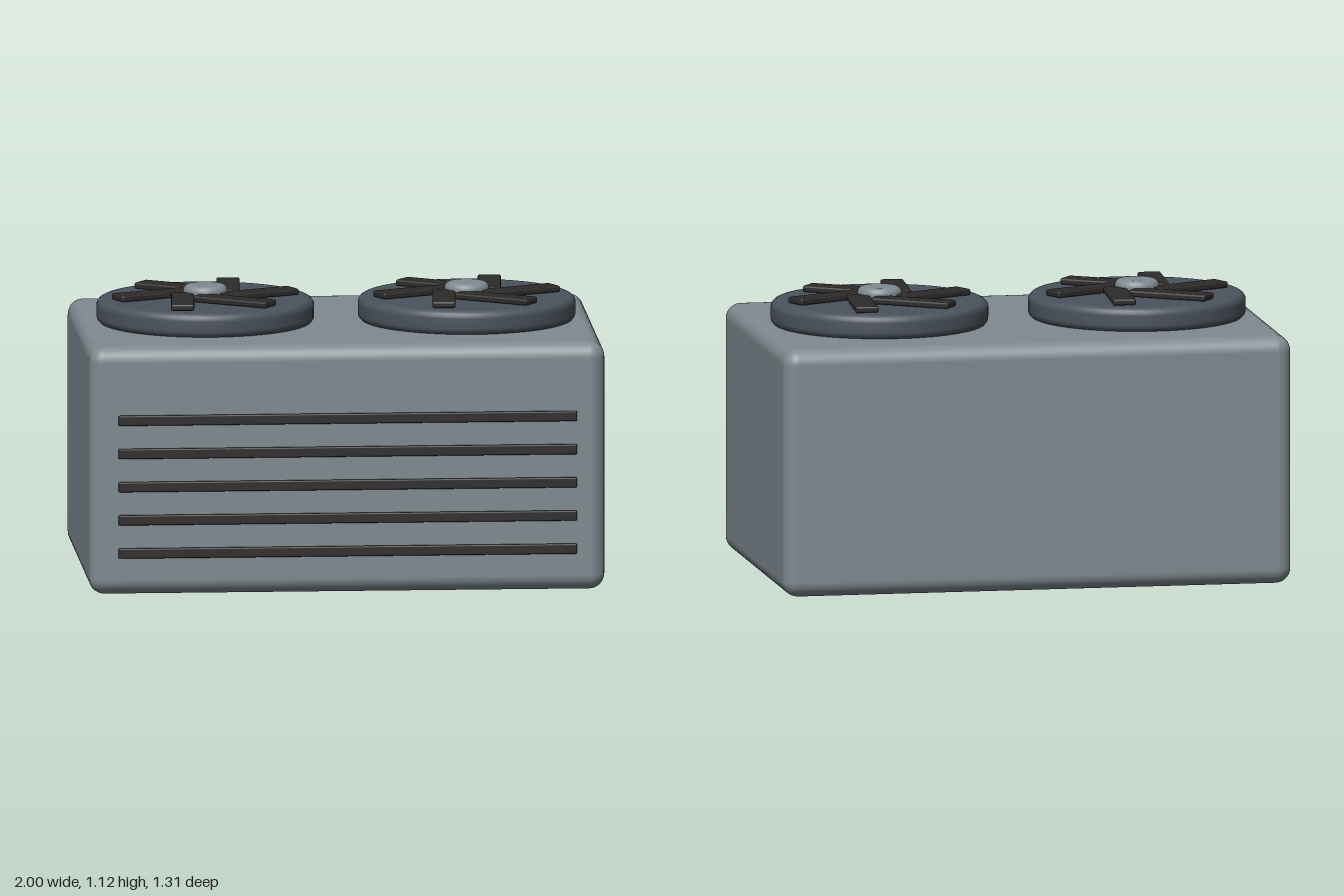
import * as THREE from 'three';
import { RoundedBoxGeometry } from 'three/addons/geometries/RoundedBoxGeometry.js';

const material = (name, color) => {
  const m = new THREE.MeshStandardMaterial({ color });
  m.name = name;
  return m;
};

// Round disc standing on y = 0 with rounded rims at the bottom and top
function roundedDisc(radius, height, low, high) {
  const points = [new THREE.Vector2(0, 0)];
  const arc = (r, cy, start) => {
    for (let i = 0; i <= 5; i++) {
      const a = start + (i / 5) * Math.PI / 2;
      points.push(new THREE.Vector2(radius - r + r * Math.cos(a), cy + r * Math.sin(a)));
    }
  };
  if (low > 0) arc(low, low, -Math.PI / 2);
  else points.push(new THREE.Vector2(radius, 0));
  arc(high, height - high, 0);
  points.push(new THREE.Vector2(0, height));
  // Thin guard rings keep the flat faces evenly shaded
  points.splice(1, 0, new THREE.Vector2((radius - Math.max(low, 0.002)) * 0.995, 0));
  points.splice(points.length - 1, 0, new THREE.Vector2((radius - high) * 0.99, height));
  return new THREE.LatheGeometry(points, 48);
}

export function createModel() {
  const model = new THREE.Group();
  model.name = 'condenserUnit';
  const casing = material('casing grey', 0x7f8a90);
  const housing = material('housing slate', 0x4a535c);
  const dark = material('dark charcoal', 0x2d2b2a);

  const add = (parent, name, geometry, mat, x, y, z) => {
    const mesh = new THREE.Mesh(geometry, mat);
    mesh.name = name;
    mesh.position.set(x, y, z);
    parent.add(mesh);
    return mesh;
  };

  // Casing
  add(model, 'casing', new RoundedBoxGeometry(2, 0.97, 1.295, 4, 0.06), casing, 0, 0.485, -0.009);

  // Front grille slats, standing just off the casing
  const slat = new RoundedBoxGeometry(1.78, 0.04, 0.015, 2, 0.006);
  for (let i = 0; i < 5; i++) {
    add(model, 'grilleSlat', slat, dark, 0, 0.167 + i * 0.13, 0.65);
  }

  // Two top fans, each with six skewed blades and a hub
  const ring = roundedDisc(0.422, 0.098, 0.03, 0.03);
  const hub = roundedDisc(0.086, 0.06, 0, 0.025);
  const blade = new RoundedBoxGeometry(0.328, 0.025, 0.09, 2, 0.008);
  const skew = THREE.MathUtils.degToRad(26);
  for (const side of [-1, 1]) {
    const fan = new THREE.Group();
    fan.name = side < 0 ? 'rightFan' : 'leftFan';
    fan.position.set(side * 0.507, 0.965, -0.012);
    add(fan, 'fanHousing', ring, housing, 0, 0, 0);
    for (let i = 0; i < 6; i++) {
      const a = i * Math.PI / 3;
      add(fan, 'fanBlade', blade, dark, 0.2 * Math.cos(a), 0.1105, -0.2 * Math.sin(a))
        .rotation.y = a + skew;
    }
    add(fan, 'fanHub', hub, casing, 0, 0.09, 0);
    model.add(fan);
  }
  return model;
}
